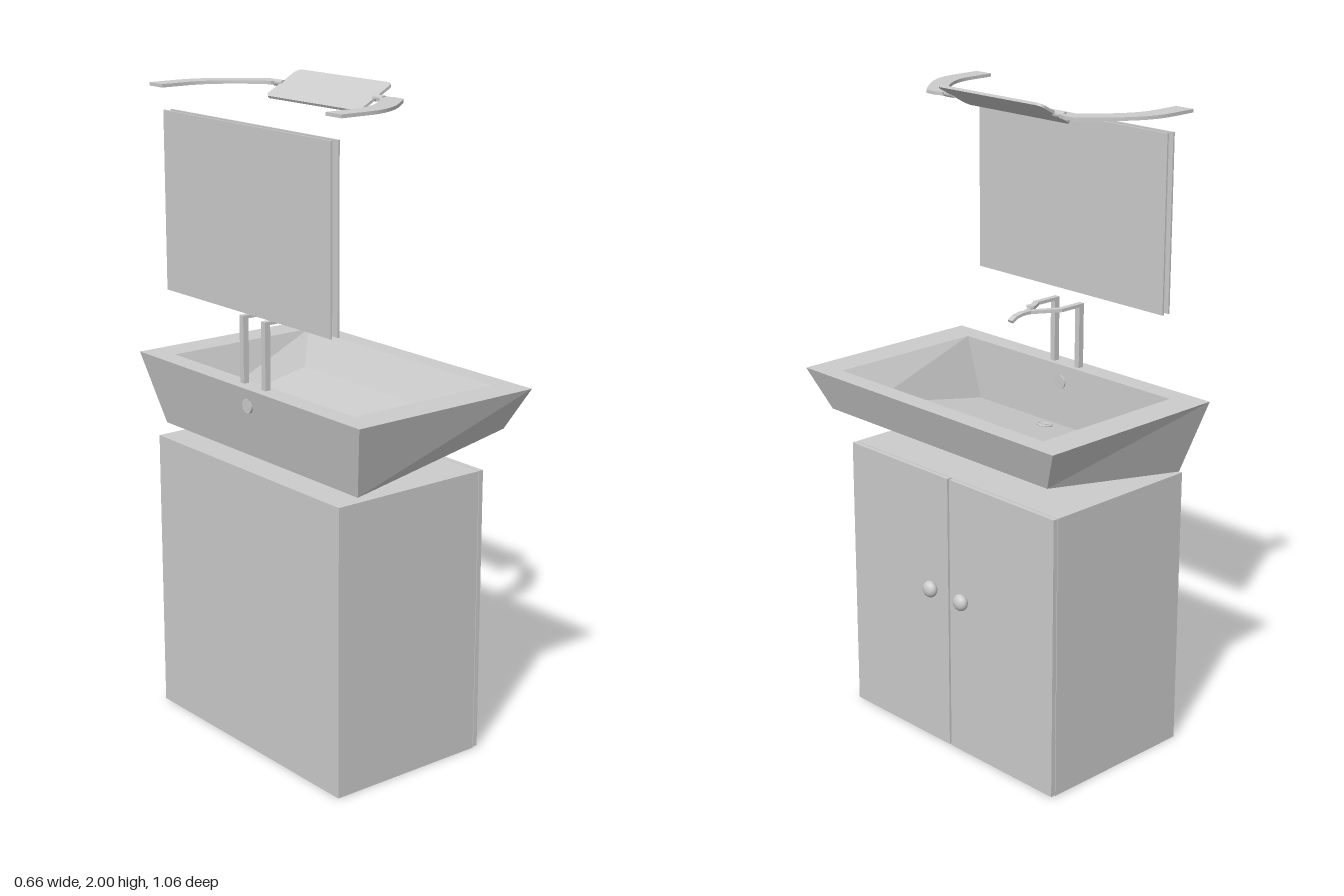
import * as THREE from 'three';

const grey = new THREE.MeshStandardMaterial({ color: 0xcccccc });
const flat = new THREE.MeshStandardMaterial({ color: 0xcccccc, flatShading: true });

export function createModel() {
  const model = new THREE.Group();

  function add(name, geometry, x = 0, y = 0, z = 0, material = grey) {
    const mesh = new THREE.Mesh(geometry, material);
    mesh.name = name;
    mesh.position.set(x, y, z);
    model.add(mesh);
    return mesh;
  }

  // Box given by its minimum and maximum corners
  function block(name, [x0, y0, z0], [x1, y1, z1]) {
    return add(name, new THREE.BoxGeometry(x1 - x0, y1 - y0, z1 - z0),
      (x0 + x1) / 2, (y0 + y1) / 2, (z0 + z1) / 2);
  }

  // Flat bar between two points
  function bar(name, a, b, width, height) {
    const p = new THREE.Vector3(...a), q = new THREE.Vector3(...b);
    const mid = p.clone().add(q).multiplyScalar(0.5);
    const mesh = add(name, new THREE.BoxGeometry(width, height, p.distanceTo(q)), mid.x, mid.y, mid.z);
    mesh.lookAt(q);
    return mesh;
  }

  // Cabinet with two doors and round knobs
  block('cabinetBody', [-0.32, 0, -0.435], [0.205, 0.885, 0.445]);
  block('leftDoor', [0.207, 0.003, 0.009], [0.222, 0.885, 0.445]);
  block('rightDoor', [0.207, 0.003, -0.435], [0.222, 0.885, 0.001]);
  for (const z of [0.072, -0.064]) {
    const neck = add('knobNeck', new THREE.CylinderGeometry(0.01, 0.01, 0.02, 16), 0.228, 0.515, z);
    neck.rotation.z = Math.PI / 2;
    add('doorKnob', new THREE.SphereGeometry(0.026, 24, 16), 0.24, 0.515, z).scale.x = 0.75;
  }

  // Basin: rectangular rings joined from the underside over the rim to the sloping floor
  const ring = (x0, x1, z0, z1, yBack, yFront) => [
    [x0, yBack, z1], [x1, yFront, z1], [x1, yFront, z0], [x0, yBack, z0]];
  const rings = [
    ring(-0.27, 0.28, -0.466, 0.466, 0.91, 1.005),
    ring(-0.32, 0.326, -0.532, 0.532, 1.132, 1.132),
    ring(-0.255, 0.265, -0.434, 0.432, 1.132, 1.132),
    ring(-0.25, 0.2, -0.37, 0.367, 0.94, 1.03)];
  const corners = [];
  const quad = (a, b, c, d) => corners.push(...a, ...b, ...c, ...a, ...c, ...d);
  for (let r = 0; r < 3; r++) {
    for (let i = 0; i < 4; i++) {
      const j = (i + 1) % 4;
      quad(rings[r][i], rings[r][j], rings[r + 1][j], rings[r + 1][i]);
    }
  }
  quad(...[...rings[0]].reverse());
  quad(...rings[3]);
  const basin = new THREE.BufferGeometry();
  basin.setAttribute('position', new THREE.Float32BufferAttribute(corners, 3));
  basin.computeVertexNormals();
  add('basin', basin, 0, 0, 0, flat);

  // Overflow through the back wall
  const overflow = add('overflow', new THREE.CylinderGeometry(0.022, 0.022, 0.064, 24), -0.281, 1.078, 0.012);
  overflow.rotation.z = Math.PI / 2;

  // Drain: ring, hub and spokes lying on the sloping floor
  const drain = new THREE.Group();
  drain.name = 'drain';
  const rim = new THREE.Mesh(new THREE.TorusGeometry(0.022, 0.004, 8, 24), grey);
  rim.rotation.x = Math.PI / 2;
  const hub = new THREE.Mesh(new THREE.CylinderGeometry(0.008, 0.008, 0.006, 16), grey);
  drain.add(rim, hub);
  for (let i = 0; i < 4; i++) {
    const spoke = new THREE.Mesh(new THREE.BoxGeometry(0.044, 0.004, 0.003), grey);
    spoke.rotation.y = i * Math.PI / 4;
    drain.add(spoke);
  }
  drain.position.set(-0.185, 0.955, 0.012);
  drain.rotation.z = 0.197;
  model.add(drain);

  // Faucet: two posts whose arms meet in one spout
  const mid = 0.012;
  for (const side of [1, -1]) {
    const z = mid + side * 0.052;
    block('faucetPost', [-0.29, 1.13, z - 0.009], [-0.271, 1.335, z + 0.009]);
    bar('faucetArm', [-0.285, 1.33, z], [-0.196, 1.33, z], 0.018, 0.01);
    bar('faucetArm', [-0.2, 1.33, z], [-0.108, 1.33, mid - side * 0.004], 0.018, 0.01);
  }
  const spout = [[-0.12, 1.33], [-0.085, 1.33], [-0.06, 1.326], [-0.04, 1.315]];
  for (let i = 0; i < 3; i++) {
    bar('faucetSpout', [...spout[i], mid], [...spout[i + 1], mid], 0.02, 0.009);
  }
  add('faucetStem', new THREE.CylinderGeometry(0.005, 0.005, 0.014, 12), -0.125, 1.338, mid);
  add('faucetHandle', new THREE.CylinderGeometry(0.013, 0.013, 0.004, 20), -0.125, 1.346, mid);

  // Mirror glass and backing sheet
  block('mirrorBacking', [-0.328, 1.36, -0.36], [-0.322, 1.896, 0.418]);
  block('mirrorGlass', [-0.303, 1.36, -0.36], [-0.297, 1.896, 0.418]);

  // Lamp: thin tilted plate with rounded corners
  const lampX = -0.018, lampY = 1.965, lampZ = 0.02;
  const thin = depth => ({ depth, bevelEnabled: false, curveSegments: 16 });
  const w = 0.0705, h = 0.215, r = 0.02;
  const plate = new THREE.Shape();
  plate.moveTo(-w + r, -h);
  plate.absarc(w - r, -h + r, r, -Math.PI / 2, 0);
  plate.absarc(w - r, h - r, r, 0, Math.PI / 2);
  plate.absarc(-w + r, h - r, r, Math.PI / 2, Math.PI);
  plate.absarc(-w + r, -h + r, r, Math.PI, Math.PI * 1.5);
  const plateGeometry = new THREE.ExtrudeGeometry(plate, thin(0.008));
  plateGeometry.translate(0, 0, -0.004).rotateX(-Math.PI / 2);
  add('lampPlate', plateGeometry, lampX, lampY, lampZ).rotation.z = 0.5;

  // Curved lamp arms and pivot pins, mirrored to both ends
  for (const s of [1, -1]) {
    const arm = new THREE.Shape();
    arm.moveTo(-0.33, s * 0.445);
    arm.lineTo(-0.24, s * 0.445);
    arm.bezierCurveTo(-0.15, s * 0.445, -0.09, s * 0.395, 0.004, s * 0.305);
    arm.lineTo(0.006, s * 0.265);
    arm.lineTo(-0.002, s * 0.24);
    arm.lineTo(-0.04, s * 0.24);
    arm.lineTo(-0.044, s * 0.262);
    arm.bezierCurveTo(-0.11, s * 0.335, -0.17, s * 0.38, -0.25, s * 0.38);
    arm.lineTo(-0.33, s * 0.38);
    arm.closePath();
    const armGeometry = new THREE.ExtrudeGeometry(arm, thin(0.01));
    armGeometry.translate(0, 0, -0.005).rotateX(-Math.PI / 2);
    add('lampArm', armGeometry, 0, lampY, lampZ);
    const pin = add('lampPin', new THREE.CylinderGeometry(0.01, 0.01, 0.04, 16), lampX, lampY, lampZ + s * 0.228);
    pin.rotation.x = Math.PI / 2;
  }

  return model;
}
